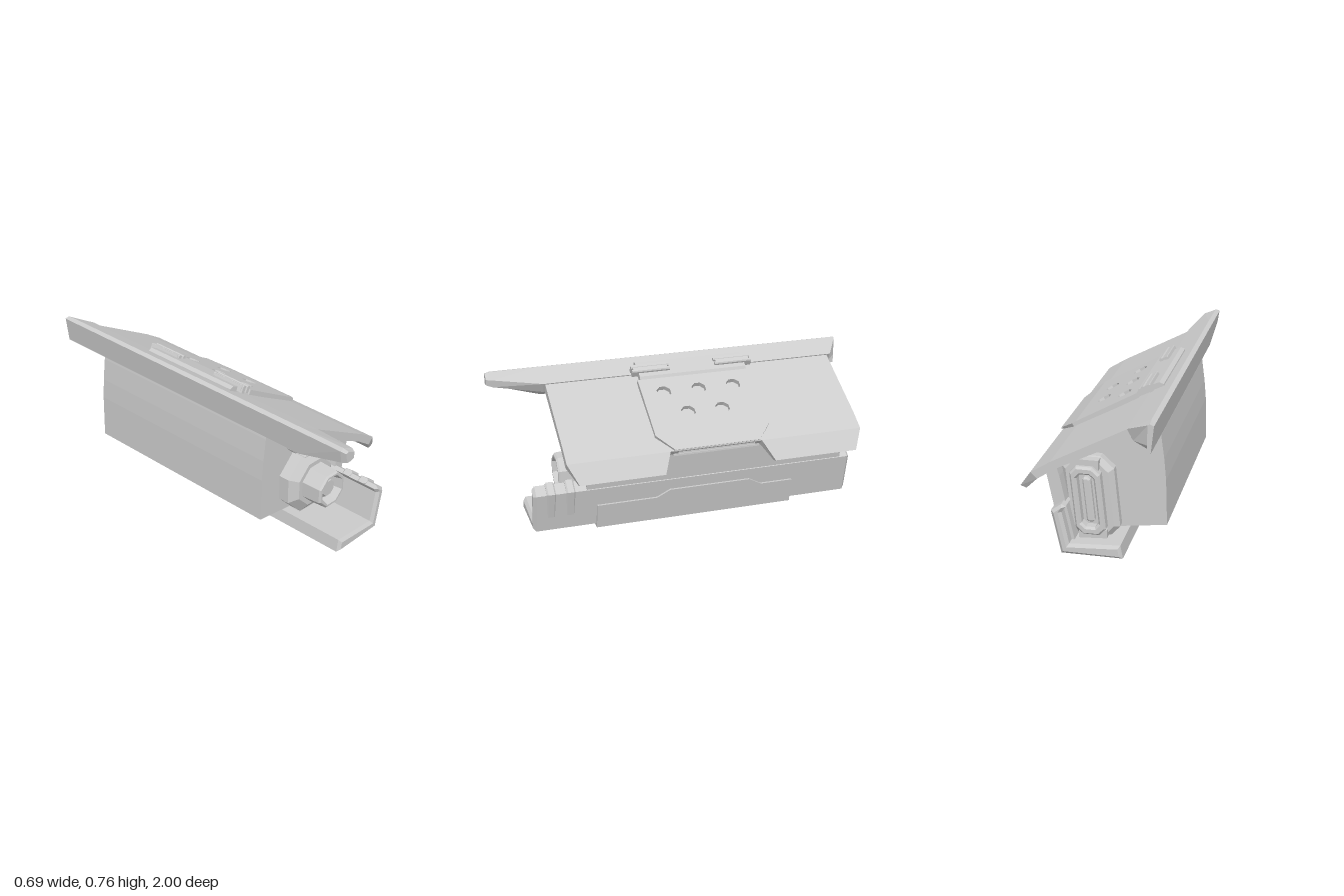
import * as THREE from 'three';

export function createModel() {
  const model = new THREE.Group();
  const mat = new THREE.MeshStandardMaterial({ color: 0xcccccc, flatShading: true });
  const add = (name, geo) => {
    const mesh = new THREE.Mesh(geo, mat);
    mesh.name = name;
    model.add(mesh);
    return mesh;
  };
  const shapeOf = (pts) => new THREE.Shape(pts.map(([x, y]) => new THREE.Vector2(x, y)));

  // Profile in x, y drawn out from z0 to z1, with an optional chamfer at both ends
  const prism = (pts, z0, z1, b = 0) => new THREE.ExtrudeGeometry(shapeOf(pts), {
    depth: z1 - z0 - 2 * b, bevelEnabled: b > 0, bevelThickness: b, bevelSize: b,
    bevelOffset: -b, bevelSegments: 1,
  }).translate(0, 0, z0 + b);

  // Closed solid through a row of equal-sized loops
  const loft = (loops) => {
    const pos = [];
    const n = loops[0].length;
    const tri = (a, b, c) => pos.push(...a, ...b, ...c);
    for (let s = 0; s + 1 < loops.length; s++) {
      for (let i = 0; i < n; i++) {
        const j = (i + 1) % n;
        tri(loops[s][i], loops[s][j], loops[s + 1][j]);
        tri(loops[s][i], loops[s + 1][j], loops[s + 1][i]);
      }
    }
    const last = loops[loops.length - 1];
    for (let i = 1; i + 1 < n; i++) {
      tri(loops[0][0], loops[0][i + 1], loops[0][i]);
      tri(last[0], last[i], last[i + 1]);
    }
    // Turn the faces outward
    const v = [0, 3, 6].map(() => new THREE.Vector3());
    let volume = 0;
    for (let i = 0; i < pos.length; i += 9) {
      v.forEach((p, k) => p.fromArray(pos, i + 3 * k));
      volume += v[0].dot(v[1].clone().cross(v[2]));
    }
    if (volume < 0) {
      for (let i = 0; i < pos.length; i += 9) {
        for (let k = 0; k < 3; k++) [pos[i + 3 + k], pos[i + 6 + k]] = [pos[i + 6 + k], pos[i + 3 + k]];
      }
    }
    const geo = new THREE.BufferGeometry();
    geo.setAttribute('position', new THREE.Float32BufferAttribute(pos, 3));
    geo.computeVertexNormals();
    return geo;
  };
  // Loop across a sheet: outer point, inner point, z range
  const across = ([ox, oy], [ix, iy], z0, z1) => [[ox, oy, z0], [ox, oy, z1], [ix, iy, z1], [ix, iy, z0]];

  // Main body, slightly bowed on the outside
  add('body', prism([[-0.345, 0.135], [-0.11, 0.105], [0.1, 0.07], [0.17, 0.44], [0.15, 0.468],
    [-0.2, 0.66], [-0.3, 0.66], [-0.312, 0.6], [-0.328, 0.48], [-0.338, 0.37]], -0.71, 0.49));

  // Sloping side wall and the L-shaped guard below it
  add('sideWall', prism([[0.08, 0.05], [0.145, 0.05], [0.222, 0.425], [0.2, 0.45], [0.17, 0.452],
    [0.155, 0.4]], -0.84, 0.58));
  add('guard', prism([[-0.165, 0.02], [0.14, 0.02], [0.188, 0.24], [0.135, 0.278], [0.115, 0.265],
    [0.135, 0.235], [0.1, 0.073], [-0.153, 0.088]], -0.9, 0.86, 0.015));

  // Clamp ribs around the front of the guard
  for (const z of [0.665, 0.767]) {
    add('guardRib', prism([[0.13, 0.1], [0.16, 0.1], [0.198, 0.245], [0.137, 0.292], [0.107, 0.272],
      [0.14, 0.24]], z - 0.024, z + 0.024, 0.008));
  }

  // Stepped skirt and bottom pan
  const steps = [[0.525, 0], [0.525, 0.14], [0.2, 0.14], [0.13, 0.18], [-0.315, 0.18], [-0.385, 0.14],
    [-0.565, 0.14], [-0.565, 0]];
  const skirt = prism(steps.map(([z, y]) => [-z, y]), 0.11, 0.15).rotateY(Math.PI / 2);
  const sp = skirt.attributes.position;
  for (let i = 0; i < sp.count; i++) sp.setX(i, sp.getX(i) + 0.21 * sp.getY(i));
  skirt.computeVertexNormals();
  add('skirt', skirt);
  add('bottomPan', prism([[-0.025, 0], [0.148, 0], [0.15, 0.03], [-0.055, 0.03]], -0.565, 0.525));

  // Top rail with tapered ends
  const full = [[-0.335, 0.755], [-0.31, 0.763], [-0.195, 0.705], [-0.225, 0.65], [-0.3, 0.61], [-0.32, 0.62]];
  const tip = [[-0.335, 0.755], [-0.31, 0.761], [-0.248, 0.735], [-0.255, 0.695], [-0.3, 0.688], [-0.325, 0.69]];
  const tail = [[-0.335, 0.755], [-0.315, 0.763], [-0.305, 0.757], [-0.303, 0.66], [-0.303, 0.612], [-0.32, 0.62]];
  const at = (pts, z) => pts.map(([x, y]) => [x, y, z]);
  add('topRail', loft([at(tail, -1), at(full, -0.93), at(full, 0.71), at(tip, 0.97),
    at(tip.map(([x, y]) => [-0.31 + (x + 0.31) * 0.7, 0.73 + (y - 0.73) * 0.8]), 1)]));

  // Cover sheet with two drooping lips
  const bend = [[0.277, 0.44], [0.245, 0.408]];
  const edge = [[0.344, 0.345], [0.314, 0.334]];
  add('cover', loft([
    across([-0.205, 0.703], [-0.21, 0.65], -0.91, 0.7),
    across([0.18, 0.5], [0.16, 0.465], -0.91, 0.7),
    across(...bend, -0.91, 0.7),
  ]));
  for (const [z0, z1, e0, e1] of [[0.155, 0.7, 0.2, 0.65], [-0.91, -0.345, -0.86, -0.4]]) {
    add('coverLip', loft([across(...bend, z0, z1), across(...edge, e0, e1)]));
  }

  // Raised lid with octagonal holes on the slope
  const a = new THREE.Vector3(-0.128, 0.695, 0);
  const b = new THREE.Vector3(0.187, 0.52, 0);
  const u = b.clone().sub(a).normalize();
  const n = new THREE.Vector3(-u.y, u.x, 0);
  const thick = 0.026;
  const len = a.distanceTo(b);
  const lidShape = shapeOf([[0, -0.215], [len, -0.215], [len, 0.415], [0, 0.415]]);
  for (const [hu, hz] of [[0.1, -0.295], [0.1, -0.1], [0.1, 0.095], [0.25, -0.19], [0.25, 0]]) {
    const hole = new THREE.Path();
    for (let i = 0; i < 8; i++) {
      const t = -(i + 0.5) * Math.PI / 4;
      hole[i ? 'lineTo' : 'moveTo'](hu + 0.04 * Math.cos(t), -hz + 0.04 * Math.sin(t));
    }
    hole.closePath();
    lidShape.holes.push(hole);
  }
  const lid = new THREE.ExtrudeGeometry(lidShape, { depth: thick, bevelEnabled: false });
  lid.applyMatrix4(new THREE.Matrix4().makeBasis(u, new THREE.Vector3(0, 0, -1), n)
    .setPosition(a.clone().addScaledVector(n, -thick)));
  add('lid', lid);
  add('lidFront', loft([
    across([0.187, 0.52], [0.174, 0.497], -0.415, 0.215),
    across([0.205, 0.507], [0.19, 0.485], -0.415, 0.215),
    across([0.285, 0.449], [0.262, 0.422], -0.33, 0.13),
  ]));
  // Slot frame under the lid's lower edge
  for (const [y, x] of [[0.446, 0.274], [0.409, 0.25]]) {
    add('slotRail', new THREE.BoxGeometry(0.02, 0.01, 0.47).translate(x, y, -0.1));
  }
  add('slotBar', new THREE.BoxGeometry(0.014, 0.014, 0.42).translate(0.262, 0.428, -0.1));

  // Strip behind the lid and its two hinges
  add('hingeStrip', prism([[-0.265, 0.735], [-0.128, 0.668], [-0.128, 0.695], [-0.135, 0.711],
    [-0.24, 0.756], [-0.262, 0.747]], -0.4, 0.2));
  for (const z of [0.13, -0.335]) {
    add('hingeBase', new THREE.BoxGeometry(0.05, 0.03, 0.19).rotateZ(-0.5).translate(-0.187, 0.73, z));
    for (const [x, y] of [[-0.2, 0.734], [-0.17, 0.722]]) {
      add('hingeBar', prism([[-0.009, -0.02], [0.009, -0.02], [0.009, 0.014], [0.004, 0.02],
        [-0.004, 0.02], [-0.009, 0.014]], -0.105, 0.105).rotateZ(-0.5).translate(x, y, z));
    }
  }

  // Octagonal ports on the front: profile points are radius, z
  const port = (name, x, y, pts) => add(name, new THREE.LatheGeometry(
    pts.map(([r, z]) => new THREE.Vector2(r, z)).reverse(), 8, Math.PI / 8)
    .scale(1, -1, 1).rotateX(-Math.PI / 2).translate(x, y, 0)).material = portMat;
  const portMat = mat.clone();
  portMat.side = THREE.DoubleSide;
  port('mainPort', -0.037, 0.265, [[0.182, 0.45], [0.182, 0.55], [0.133, 0.585], [0.108, 0.585], [0.102, 0.69],
    [0.094, 0.7], [0.083, 0.7], [0.069, 0.65], [0.062, 0.65], [0.045, 0.675], [0, 0.675]]);
  for (const [x, y] of [[-0.095, 0.505], [0.042, 0.452]]) {
    port('smallPort', x, y, [[0.067, 0.45], [0.067, 0.52], [0.05, 0.53], [0.05, 0.585], [0.045, 0.59],
      [0.037, 0.59], [0.03, 0.56], [0.027, 0.56], [0.022, 0.575], [0, 0.575]]);
  }
  // Blocks joining the main port to its surroundings
  add('portBridge', prism([[-0.104, 0.36], [0.09, 0.36], [0.15, 0.44], [0.013, 0.435], [-0.104, 0.435]], 0.48, 0.56, 0.01));
  add('portBase', prism([[-0.104, 0.08], [0.1, 0.08], [0.13, 0.3], [0.0, 0.3]], 0.48, 0.54));

  // Framed vertical slot on the back
  const cx = 0.02, cy = 0.28;
  const octagon = (w, h, c) => [[-w + c, -h], [w - c, -h], [w, -h + c], [w, h - c], [w - c, h], [-w + c, h],
    [-w, h - c], [-w, -h + c]].map(([x, y]) => [cx + x + (y * 0.1), cy + y]);
  add('backPlatform', prism(octagon(0.13, 0.21, 0.06), -0.79, -0.7, 0.025));
  const rim = shapeOf(octagon(0.075, 0.175, 0.035));
  rim.holes.push(new THREE.Path(octagon(0.042, 0.135, 0.02).map(([x, y]) => new THREE.Vector2(x, y))));
  add('backFrame', new THREE.ExtrudeGeometry(rim, { depth: 0.05, bevelEnabled: true, bevelThickness: 0.012,
    bevelSize: 0.01, bevelOffset: -0.01, bevelSegments: 1 }).translate(0, 0, -0.83));
  add('backInsert', prism(octagon(0.02, 0.115, 0.01), -0.82, -0.77, 0.008));
  for (const s of [-1, 1]) {
    add('backLug', new THREE.BoxGeometry(0.14, 0.05, 0.07).translate(cx + 0.02 * s, cy + 0.18 * s, -0.78));
  }
  return model;
}
